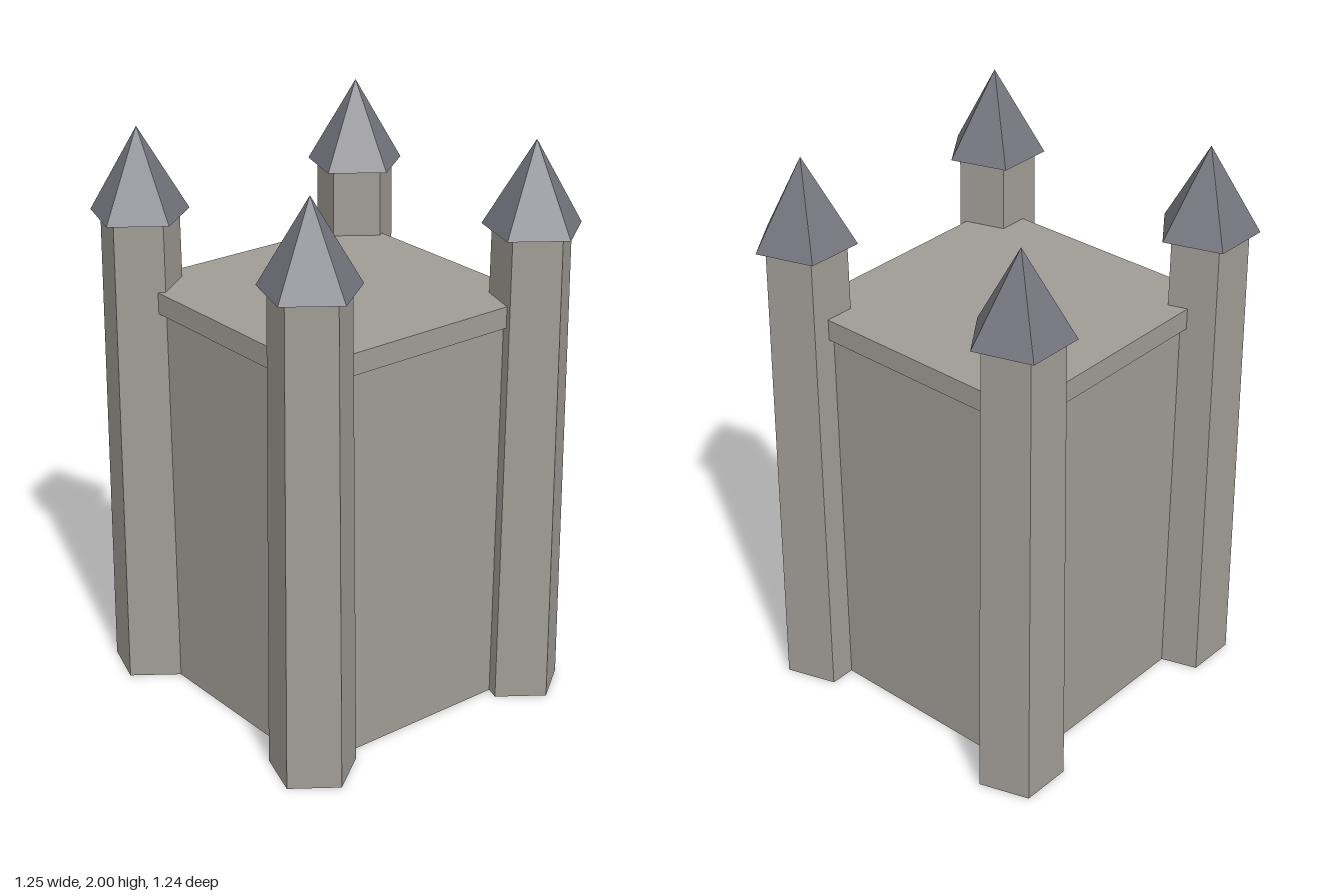
import * as THREE from 'three';

const SIDES = 5;
const CENTRE_Z = -0.019; // the pentagons point forward, so the plan sits slightly back
const TOWER_OFFSET = 0.462;

export function createModel() {
  const stone = new THREE.MeshStandardMaterial({ color: 0xa09c95 });
  stone.name = 'stone';
  const slate = new THREE.MeshStandardMaterial({ color: 0x75767e });
  slate.name = 'slate';

  const model = new THREE.Group();
  model.name = 'keep';

  const add = (parent, name, geometry, material, y) => {
    const mesh = new THREE.Mesh(geometry, material);
    mesh.name = name;
    mesh.position.y = y;
    parent.add(mesh);
  };

  // Pentagonal frustum with crisp faces
  const pentagon = (top, bottom, height) =>
    new THREE.CylinderGeometry(top, bottom, height, SIDES).toNonIndexed();
  const flat = (geometry) => {
    geometry.computeVertexNormals();
    return geometry;
  };

  // Main block and its overhanging roof slab
  const core = new THREE.Group();
  core.name = 'core';
  core.position.z = CENTRE_Z;
  add(core, 'walls', new THREE.BoxGeometry(0.924, 1.385, 0.924), stone, 0.6925);
  add(core, 'roofSlab', new THREE.BoxGeometry(0.966, 0.075, 0.966), stone, 1.4225);
  model.add(core);

  // Four tapered corner towers with pointed roofs
  const shaft = flat(pentagon(0.139, 0.154, 1.7));
  const spire = flat(pentagon(0, 0.174, 0.3));
  for (const sx of [-1, 1]) {
    for (const sz of [-1, 1]) {
      const tower = new THREE.Group();
      tower.name = `${sz > 0 ? 'front' : 'back'}${sx > 0 ? 'Left' : 'Right'}Tower`;
      tower.position.set(sx * TOWER_OFFSET, 0, CENTRE_Z + sz * TOWER_OFFSET);
      add(tower, 'shaft', shaft, stone, 0.85);
      add(tower, 'spire', spire, slate, 1.85);
      model.add(tower);
    }
  }

  return model;
}
